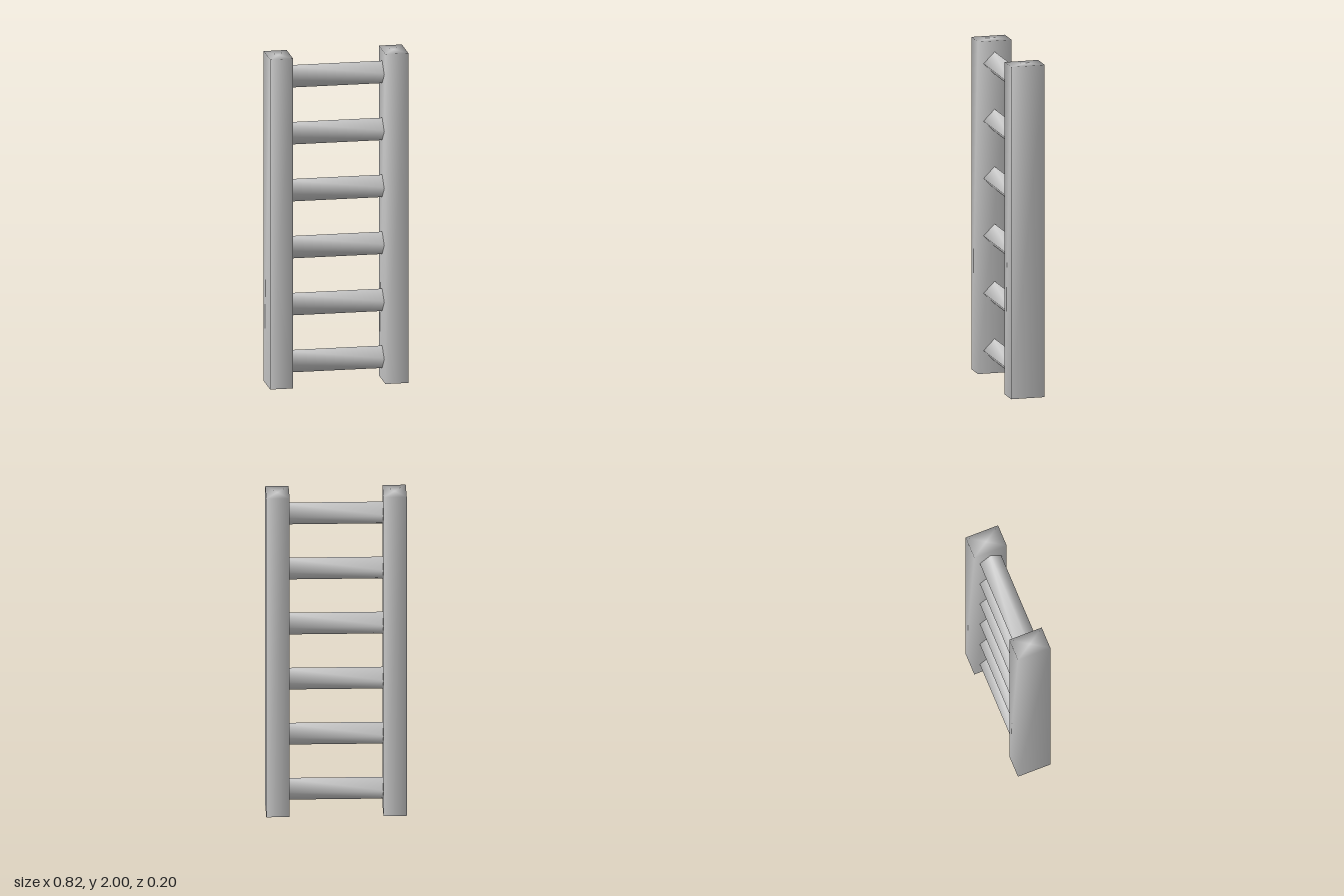
import * as THREE from 'three';
import { mergeVertices } from 'three/addons/utils/BufferGeometryUtils.js';

// Four-sided bar with normals blended across every edge, caps included
function squareBar(length) {
  const bar = new THREE.CylinderGeometry(1, 1, length, 4);
  bar.deleteAttribute('normal');
  bar.deleteAttribute('uv');
  return mergeVertices(bar, 1e-4);
}

export function createModel() {
  const ladder = new THREE.Group();
  ladder.name = 'ladder';
  const material = new THREE.MeshStandardMaterial({ color: 0xcccccc });

  // Upright rails: flat sides facing front and side
  const width = 0.137, depth = 0.205;
  const railGeometry = squareBar(2)
    .rotateY(Math.PI / 4)
    .scale(width / Math.SQRT2, 1, depth / Math.SQRT2);
  railGeometry.computeVertexNormals();
  for (const side of [-1, 1]) {
    const rail = new THREE.Mesh(railGeometry, material);
    rail.name = side > 0 ? 'leftRail' : 'rightRail';
    rail.position.set(side * 0.344, 1, 0);
    ladder.add(rail);
  }

  // Rungs: diamond section, ends hidden inside the rails
  const rungGeometry = squareBar(0.688)
    .scale(0.068, 1, 0.068)
    .rotateZ(Math.PI / 2);
  rungGeometry.computeVertexNormals();
  for (let i = 0; i < 6; i++) {
    const rung = new THREE.Mesh(rungGeometry, material);
    rung.name = `rung${i + 1}`;
    rung.position.y = 0.139 + i * 0.3455;
    ladder.add(rung);
  }
  return ladder;
}
